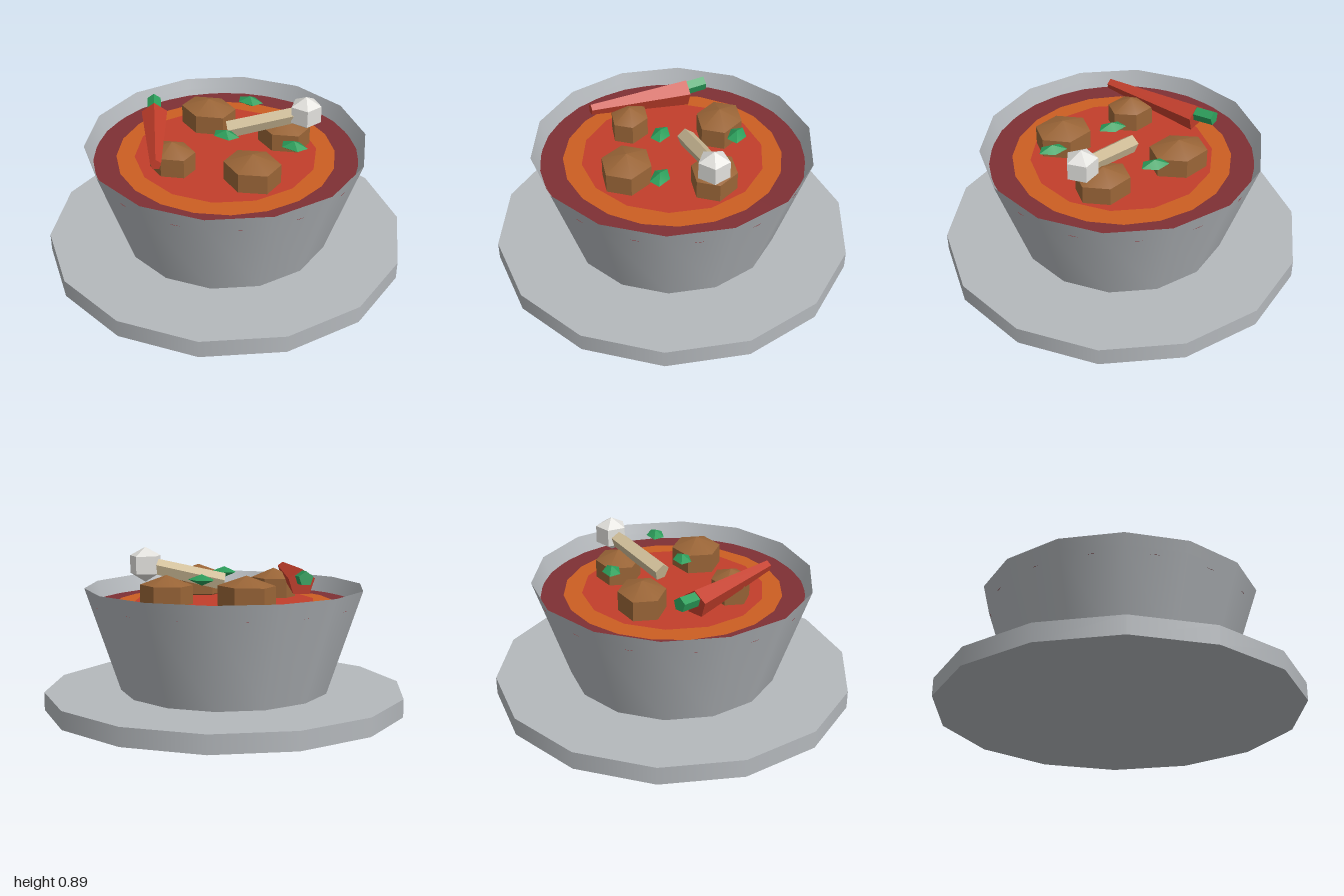
import * as THREE from 'three';
import { toCreasedNormals } from 'three/addons/utils/BufferGeometryUtils.js';

const mat = (name, color, side = THREE.FrontSide) => {
  const m = new THREE.MeshStandardMaterial({ color, side });
  m.name = name;
  return m;
};

export function createModel() {
  const group = new THREE.Group();
  const grey = mat('greyCeramic', 0xb4b8bc, THREE.DoubleSide);
  const broth = mat('darkBroth', 0x7f3034, THREE.DoubleSide);
  const orange = mat('orangeOil', 0xcc5e22);
  const red = mat('chilliRed', 0xc23e2b);
  const brown = mat('meatBrown', 0x9a6537);
  const beige = mat('boneBeige', 0xcdbb96);
  const white = mat('boneWhite', 0xe2e1dd);
  const green = mat('herbGreen', 0x2c9e5b);

  const add = (name, geometry, material, pos = [0, 0, 0]) => {
    const mesh = new THREE.Mesh(geometry, material);
    mesh.name = name;
    mesh.position.set(...pos);
    group.add(mesh);
    return mesh;
  };

  // Faceted lump turned from a few [radius, height] points, then stretched
  const lump = (name, profile, sides, size, pos, material, turn = 0) => {
    const points = profile.map(([r, y]) => new THREE.Vector2(r, y));
    const geo = new THREE.LatheGeometry(points, sides, turn);
    geo.scale(...size);
    return add(name, toCreasedNormals(geo, 0.55), material, pos);
  };

  // Tapered prism running from a to b, with one ridge facing up
  const prism = (name, a, b, ra, rb, sides, material) => {
    const start = new THREE.Vector3(...a), end = new THREE.Vector3(...b);
    const length = start.distanceTo(end);
    const geo = new THREE.CylinderGeometry(rb, ra, length, sides);
    geo.rotateX(Math.PI / 2).rotateZ(Math.PI); // axis to +z, first corner to +y
    const mesh = add(name, toCreasedNormals(geo, 0.55), material);
    mesh.position.copy(start).lerp(end, 0.5);
    mesh.lookAt(end);
    return mesh;
  };

  // Plate and bowl
  const plate = new THREE.CylinderGeometry(1, 1, 0.1, 14);
  add('plate', plate, grey, [0, 0.05, 0]);
  const wall = [[0.58, 0.1], [0.75, 0.61], [0.77, 0.67]];
  add('bowl', new THREE.LatheGeometry(wall.map(p => new THREE.Vector2(...p)), 14), grey);

  // Soup surface in three rings of colour
  [['soup', 0.725, 28, broth], ['oilRing', 0.6, 20, orange], ['soupCentre', 0.5, 14, red]]
    .forEach(([name, r, sides, material], i) => {
      const disc = new THREE.CircleGeometry(r, sides, Math.PI / 2).rotateX(-Math.PI / 2);
      add(name, disc, material, [0, 0.58 + i * 0.006, 0]);
    });

  // Meat chunks: upright sides with shallow pointed caps
  const chunk = [[0, -1], [1, -0.5], [1, 0.5], [0, 1]];
  [
    [0.28, 0.655, 0.175, 0.156, 0.137],
    [-0.25, 0.655, -0.2, 0.162, 0.128],
    [0.2, 0.64, -0.28, 0.15, 0.125],
    [-0.15, 0.645, 0.29, 0.13, 0.105],
  ].forEach(([x, y, z, rx, rz]) =>
    lump('meatChunk', chunk, 6, [rx, 0.107, rz], [x, y, z], brown));

  // Bone with a knob on its raised end
  prism('bone', [-0.03, 0.7, -0.065], [0.32, 0.8, -0.31], 0.05, 0.045, 5, beige);
  lump('boneKnob', chunk, 5, [0.086, 0.095, 0.086], [0.32, 0.8, -0.303], white, Math.PI);

  // Chilli pepper and its stem
  prism('chilli', [-0.45, 0.71, 0.045], [-0.1, 0.735, 0.5], 0.075, 0.03, 5, red);
  prism('chilliStem', [-0.52, 0.745, -0.045], [-0.44, 0.735, 0.06], 0.04, 0.04, 5, green);

  // Herb leaves: flat five-sided double points
  const leaf = [[0, -1], [1, 0], [0, 1]];
  [[0.4, 0.742, -0.043], [0.037, 0.742, 0.057], [-0.062, 0.742, -0.34]].forEach(pos =>
    lump('herbLeaf', leaf, 5, [0.08, 0.03, 0.052], pos, green, Math.PI));

  return group;
}
